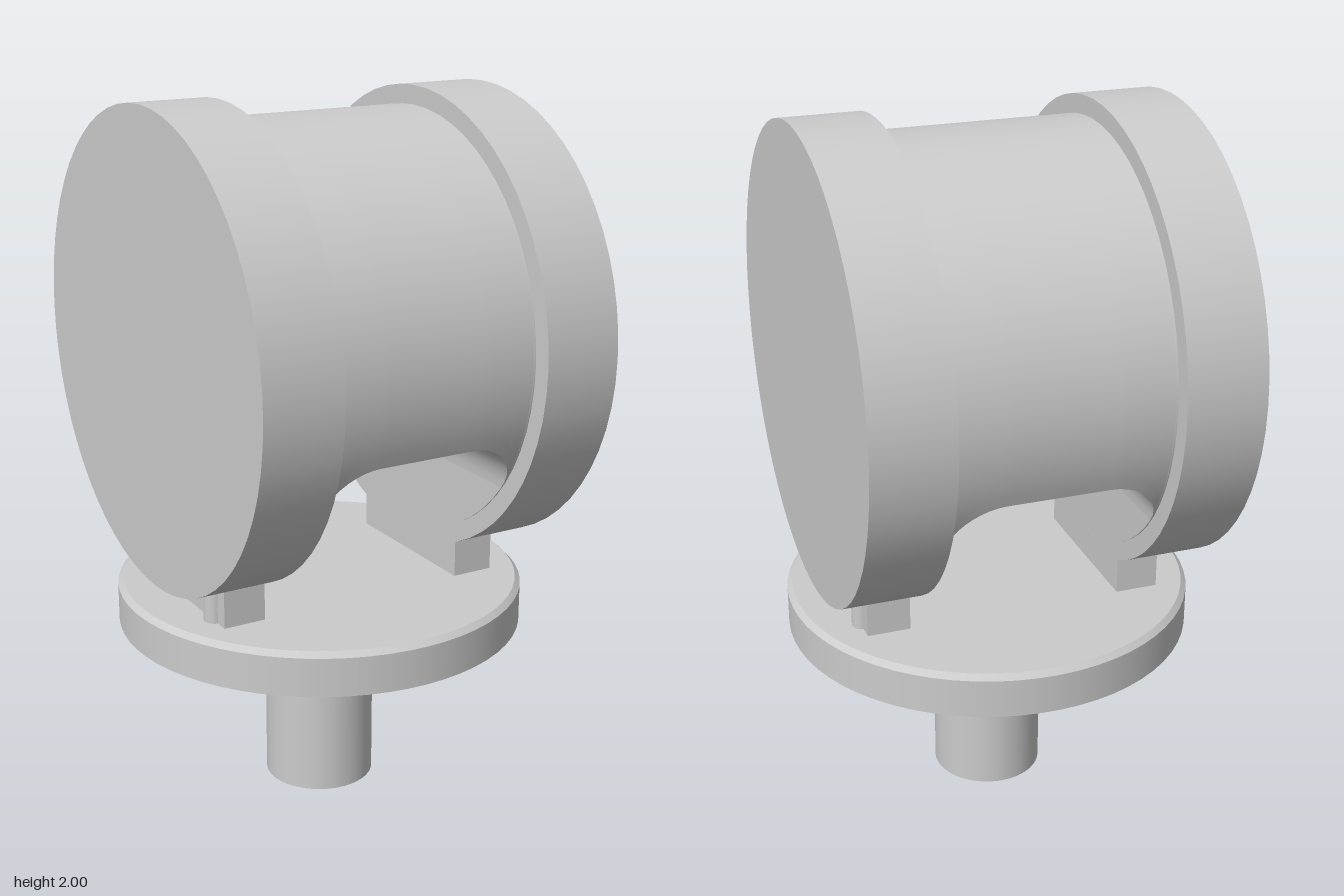
import * as THREE from 'three';

const MAT = new THREE.MeshStandardMaterial({ color: 0xcccccc });
const AXLE_Y = 1.347; // height of the horizontal axis
const DRUM_R = 0.6;

function add(parent, name, geometry, x = 0, y = 0, z = 0) {
  const mesh = new THREE.Mesh(geometry, MAT);
  mesh.name = name;
  mesh.position.set(x, y, z);
  parent.add(mesh);
  return mesh;
}

// Smooth surface through equal-length rows of [x, y, z]
function loft(rows) {
  const n = rows[0].length;
  const index = [];
  for (let i = 0; i < rows.length - 1; i++) {
    for (let j = 0; j < n - 1; j++) {
      const a = i * n + j, b = a + n;
      index.push(a, a + 1, b, b, a + 1, b + 1);
    }
  }
  const g = new THREE.BufferGeometry();
  g.setAttribute('position', new THREE.Float32BufferAttribute(rows.flat(2), 3));
  g.setIndex(index);
  g.computeVertexNormals();
  return g;
}

// Drum with a round-cornered notch cut through its underside
function makeDrum() {
  const drum = new THREE.Group();
  drum.name = 'drum';
  const half = 0.295, ceiling = 1.133, r = 0.155;
  const arch = [];
  for (const s of [-1, 1]) {
    for (let i = 0; i <= 10; i++) {
      const a = (s < 0 ? i : 10 - i) / 10 * Math.PI / 2;
      arch.push([s * (half - r + r * Math.cos(a)), ceiling - r + r * Math.sin(a)]);
    }
  }

  // Outer skin, each section stopping where it meets the notch
  const skin = arch.map(([x, y]) => {
    const end = Math.acos((y - AXLE_Y) / DRUM_R);
    return Array.from({ length: 61 }, (_, j) => {
      const a = end * (j / 30 - 1);
      return [x, AXLE_Y + DRUM_R * Math.cos(a), DRUM_R * Math.sin(a)];
    });
  });
  add(drum, 'drumSkin', loft(skin.map((row) => row.reverse())));

  // Notch lining: side wall, arch, side wall
  const wall = (x) => Array.from({ length: 13 }, (_, i) => {
    const t = i / 12;
    return [x, AXLE_Y - DRUM_R + t * t * (ceiling - r - AXLE_Y + DRUM_R)];
  });
  const lining = (path) => loft(path.map(([x, y]) => {
    const w = Math.sqrt(Math.max(0, DRUM_R ** 2 - (y - AXLE_Y) ** 2));
    return [[x, y, -w], [x, y, w]];
  }).map((row) => row.reverse()).reverse());
  add(drum, 'notchArch', lining(arch));
  add(drum, 'notchWall', lining(wall(-half)));
  add(drum, 'notchWall', lining(wall(half).reverse()));

  // Thin full rims beside the notch
  for (const s of [-1, 1]) {
    const rim = new THREE.CylinderGeometry(DRUM_R, DRUM_R, 0.007, 60, 1, true).rotateZ(Math.PI / 2);
    add(drum, 'drumRim', rim, s * 0.2985, AXLE_Y);
  }
  // Lining and skin share winding rules; make both sides visible at the thin seams
  drum.children.forEach((m) => { m.material = DRUM_MAT; });
  return drum;
}
const DRUM_MAT = new THREE.MeshStandardMaterial({ color: 0xcccccc, side: THREE.DoubleSide });

export function createModel() {
  const model = new THREE.Group();
  model.name = 'swivelCaster';

  // Stem and base plate with a small top bevel
  add(model, 'stem', new THREE.CylinderGeometry(0.157, 0.157, 0.52, 48), 0, 0.26);
  add(model, 'basePlate', new THREE.CylinderGeometry(0.58, 0.58, 0.11, 64), 0, 0.565);
  add(model, 'basePlateBevel', new THREE.CylinderGeometry(0.565, 0.58, 0.015, 64), 0, 0.6275);

  model.add(makeDrum());

  for (const s of [-1, 1]) {
    // Side wheel
    const wheel = new THREE.CylinderGeometry(0.653, 0.653, 0.224, 60).rotateZ(Math.PI / 2);
    add(model, 'wheel', wheel, s * 0.411, AXLE_Y);

    // Support block and its two round pegs
    add(model, 'supportBlock', new THREE.BoxGeometry(0.122, 0.115, 0.488), s * 0.369, 0.6825);
    for (const z of [-0.175, 0.175]) {
      add(model, 'supportPeg', new THREE.CylinderGeometry(0.03, 0.03, 0.1, 20), s * 0.425, 0.675, z);
    }
  }
  return model;
}
